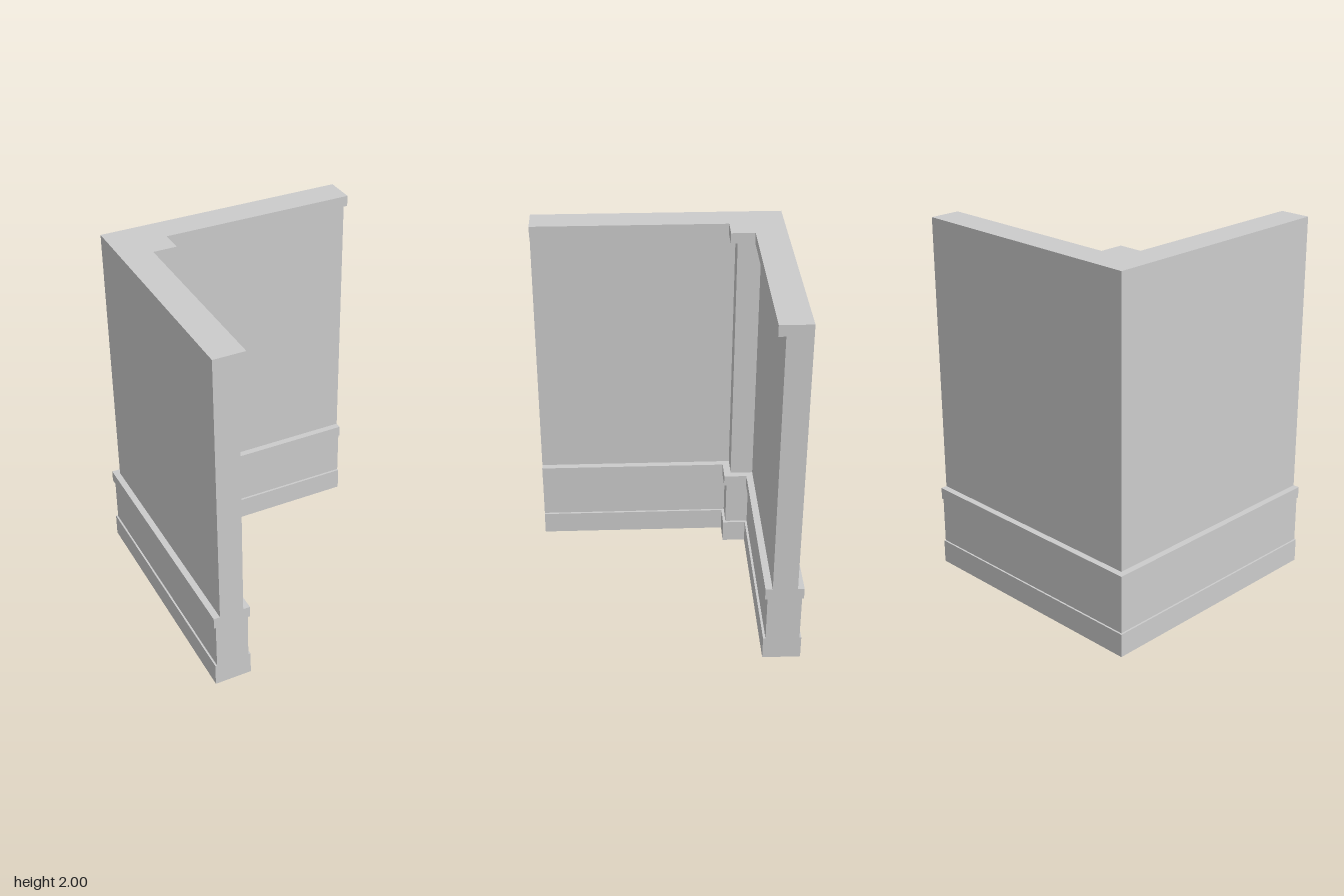
import * as THREE from 'three';

const END = 0.705; // cut ends of both wall arms

// Plan outline at one level: L-shaped wall with a square post in the inner corner.
// o = outer face, i = inner face, p = post face; the plan mirrors across x = z.
const outline = ([, o, i, p]) => [
  [o, END], [i, END], [i, p], [p, p], [p, i], [END, i], [END, o], [o, o],
];

// Levels as [y, outer, inner, post]
const base = (y) => [y, -0.705, -0.5, -0.37];
const board = (y) => [y, -0.695, -0.513, -0.385];
const panel = (y) => [y, -0.67, -0.538, -0.41];
const top = (y) => [y, -0.67, -0.5, -0.37];

const parts = {
  plinth: [base(0), base(0.13), board(0.13)],
  skirtingBoard: [board(0.13), board(0.395), base(0.395)],
  skirtingRail: [base(0.395), base(0.46), panel(0.46)],
  wallPanels: [panel(0.46), panel(1.94), top(1.94)],
  topRail: [top(1.94), top(2)],
};

const material = new THREE.MeshStandardMaterial({ color: 0xcccccc, flatShading: true });

function addMesh(group, geometry, name) {
  const mesh = new THREE.Mesh(geometry, material);
  mesh.name = name;
  group.add(mesh);
}

// Skin between successive outlines; levels at equal height form the ledges
function loft(levels) {
  const rings = levels.map((l) => outline(l).map(([x, z]) => new THREE.Vector3(x, l[0], z)));
  const points = [];
  const triangle = (a, b, c) => {
    if (new THREE.Triangle(a, b, c).getArea() > 1e-8) points.push(a, b, c);
  };
  for (let r = 0; r < rings.length - 1; r++) {
    for (let k = 0; k < 8; k++) {
      const n = (k + 1) % 8;
      triangle(rings[r][k], rings[r][n], rings[r + 1][n]);
      triangle(rings[r][k], rings[r + 1][n], rings[r + 1][k]);
    }
  }
  const geometry = new THREE.BufferGeometry().setFromPoints(points);
  geometry.computeVertexNormals();
  return geometry;
}

// Flat face closing the wall; side is +1 facing up, -1 facing down
function cap(level, side) {
  const shape = new THREE.Shape(outline(level).map(([x, z]) => new THREE.Vector2(x, -side * z)));
  return new THREE.ShapeGeometry(shape).rotateX((-side * Math.PI) / 2).translate(0, level[0], 0);
}

export function createModel() {
  const group = new THREE.Group();
  group.name = 'wallCorner';
  for (const [name, levels] of Object.entries(parts)) addMesh(group, loft(levels), name);
  addMesh(group, cap(base(0), -1), 'underside');
  addMesh(group, cap(top(2), 1), 'topFace');
  return group;
}
